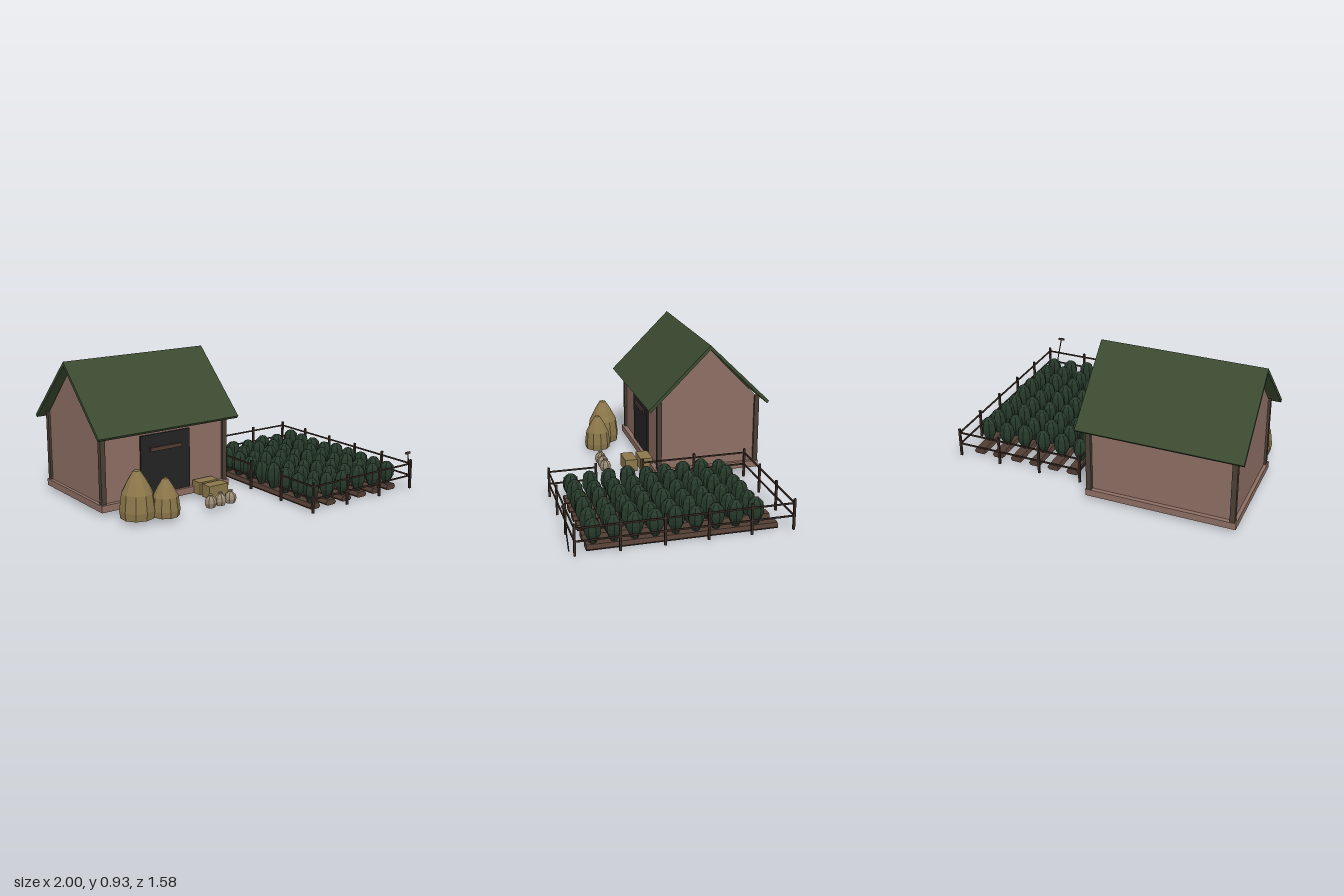
import * as THREE from 'three';

const mat = (name, color) => {
  const m = new THREE.MeshStandardMaterial({ color });
  m.name = name;
  return m;
};

export function createModel() {
  const wall = mat('clay wall', 0x8d6e63);
  const roofGreen = mat('roof green', 0x3b4a30);
  const charcoal = mat('door charcoal', 0x232323);
  const timber = mat('grey timber', 0x4b3f35);
  const straw = mat('straw', 0x8b774a);
  const soil = mat('soil brown', 0x503c33);
  const leaf = mat('leaf green', 0x26392a);
  const fenceWood = mat('fence wood', 0x3a2c26);
  const burlap = mat('burlap', 0x9a8b74);

  const model = new THREE.Group();
  model.name = 'farmstead';
  const group = (name) => {
    const g = new THREE.Group();
    g.name = name;
    model.add(g);
    return g;
  };
  const add = (parent, name, geo, material, x = 0, y = 0, z = 0) => {
    const m = new THREE.Mesh(geo, material);
    m.name = name;
    m.position.set(x, y, z);
    parent.add(m);
    return m;
  };
  // box given by its extents along each axis
  const box = (parent, name, material, [x0, x1], [y0, y1], [z0, z1]) =>
    add(parent, name, new THREE.BoxGeometry(x1 - x0, y1 - y0, z1 - z0), material,
      (x0 + x1) / 2, (y0 + y1) / 2, (z0 + z1) / 2);
  // faceted body of revolution, optionally ridged on every second side
  const faceted = (profile, sides, ridge = 1) => {
    const lathe = new THREE.LatheGeometry(profile.map(([r, y]) => new THREE.Vector2(r, y)), sides);
    const p = lathe.attributes.position;
    const n = profile.length;
    for (let i = 0; i < p.count; i++) {
      const k = Math.floor(i / n) % 2 ? ridge : 1;
      p.setX(i, p.getX(i) * k);
      p.setZ(i, p.getZ(i) * k);
    }
    const flat = lathe.toNonIndexed();
    flat.computeVertexNormals();
    return flat;
  };
  // section extruded along z and centred
  const prism = (points, length) => {
    const s = new THREE.Shape(points.map(([x, y]) => new THREE.Vector2(x, y)));
    return new THREE.ExtrudeGeometry(s, { depth: length, bevelEnabled: false }).translate(0, 0, -length / 2);
  };

  // barn
  const barn = group('barn');
  box(barn, 'plinth', wall, [-0.96, 0.015], [0.035, 0.08], [-0.735, 0.005]);
  add(barn, 'walls', prism([[-0.34, 0.07], [0.34, 0.07], [0.34, 0.55], [0, 0.905], [-0.34, 0.55]], 0.93)
    .rotateY(Math.PI / 2), wall, -0.4725, 0, -0.367);
  for (const x of [-0.935, -0.007])
    for (const z of [-0.715, -0.026])
      box(barn, 'cornerPost', timber, [x - 0.017, x + 0.017], [0.08, 0.55], [z - 0.016, z + 0.016]);
  add(barn, 'roof', prism([[-0.423, 0.522], [-0.409, 0.506], [0, 0.909], [0.409, 0.506], [0.423, 0.522], [0, 0.938]], 1.055)
    .rotateY(Math.PI / 2), roofGreen, -0.4725, 0, -0.3625);
  box(barn, 'door', charcoal, [-0.66, -0.285], [0.08, 0.475], [-0.035, -0.016]);
  box(barn, 'doorBar', soil, [-0.59, -0.355], [0.365, 0.39], [-0.018, -0.005]);

  // haystacks
  const hay = faceted([[0, 0], [0.108, 0], [0.114, 0.05], [0.1, 0.155], [0.062, 0.23], [0.022, 0.295], [0, 0.295]], 10);
  add(model, 'largeHaystack', hay, straw, -0.815, 0.035, 0.185);
  const smallHay = add(model, 'smallHaystack', hay, straw, -0.658, 0.035, 0.26);
  smallHay.scale.setScalar(0.8);
  smallHay.rotation.y = 0.4;

  // sacks and crates
  const sackGeo = faceted([[0, 0], [0.03, 0], [0.04, 0.03], [0.034, 0.055], [0.012, 0.075], [0.016, 0.084], [0, 0.086]], 7);
  [-0.35, -0.273, -0.195].forEach((x, i) => {
    add(model, 'sack', sackGeo, burlap, x, 0.035, 0.305).rotation.y = i * 0.5;
  });
  for (const z of [0.03, 0.138])
    box(model, 'crate', straw, [-0.268, -0.118], [0.035, 0.12], [z - 0.042, z + 0.042]);

  // planted beds
  const field = group('field');
  const bedGeo = prism([[-0.03, 0.006], [0.03, 0.006], [0.043, 0.02], [0.03, 0.044], [-0.03, 0.044], [-0.043, 0.02]], 1.18);
  const plantGeo = faceted([[0, 0], [0.02, 0], [0.05, 0.065], [0.053, 0.095], [0.046, 0.145], [0.024, 0.168], [0, 0.174]], 14, 0.87);
  for (let row = 0; row < 6; row++) {
    const x = 0.21 + row * 0.1366;
    add(field, 'bed', bedGeo, soil, x, 0, 0.075);
    for (let i = 0; i < 9; i++) {
      const plant = add(field, 'plant', plantGeo, leaf, x, 0.042, -0.38 + i * 0.125);
      const vary = ((row * 5 + i * 7) % 9) / 9;
      plant.scale.set(0.96 + vary * 0.06, 0.88 + vary * 0.13, 0.96 + vary * 0.06);
      plant.rotation.y = vary * 2.4;
    }
  }

  // fence with a gateway on the barn side
  const fence = group('fence');
  const postGeo = new THREE.BoxGeometry(0.014, 0.2, 0.014);
  const post = (x, z) => add(fence, 'fencePost', postGeo, fenceWood, x, 0.118, z);
  const rails = ([x0, x1], [z0, z1]) => {
    const t = 0.004;
    for (const y of [0.108, 0.19])
      box(fence, 'rail', fenceWood, [x0 - t, x1 + t], [y - 0.005, y + 0.005], [z0 - t, z1 + t]);
  };
  const [left, right, back, front] = [0.12, 0.99, -0.592, 0.745];
  for (const z of [back, front]) {
    for (let i = 0; i < 4; i++) post(left + i * 0.29, z);
    rails([left, right], [z, z]);
  }
  for (let i = 1; i < 5; i++) post(right, back + i * 0.2674);
  for (const z of [-0.235, 0.12, 0.435]) post(left, z);
  rails([right, right], [back, front]);
  rails([left, left], [back, 0.12]);
  rails([left, left], [0.435, front]);

  // hoe leaning by the fence
  const hoe = group('hoe');
  const path = new THREE.LineCurve3(new THREE.Vector3(0.957, 0.035, 0.773), new THREE.Vector3(0.911, 0.287, 0.79));
  add(hoe, 'hoeHandle', new THREE.TubeGeometry(path, 1, 0.004, 6), fenceWood);
  const head = box(hoe, 'hoeHead', soil, [0.886, 0.932], [0.28, 0.294], [0.784, 0.794]);
  head.rotation.y = 0.1;

  return model;
}
